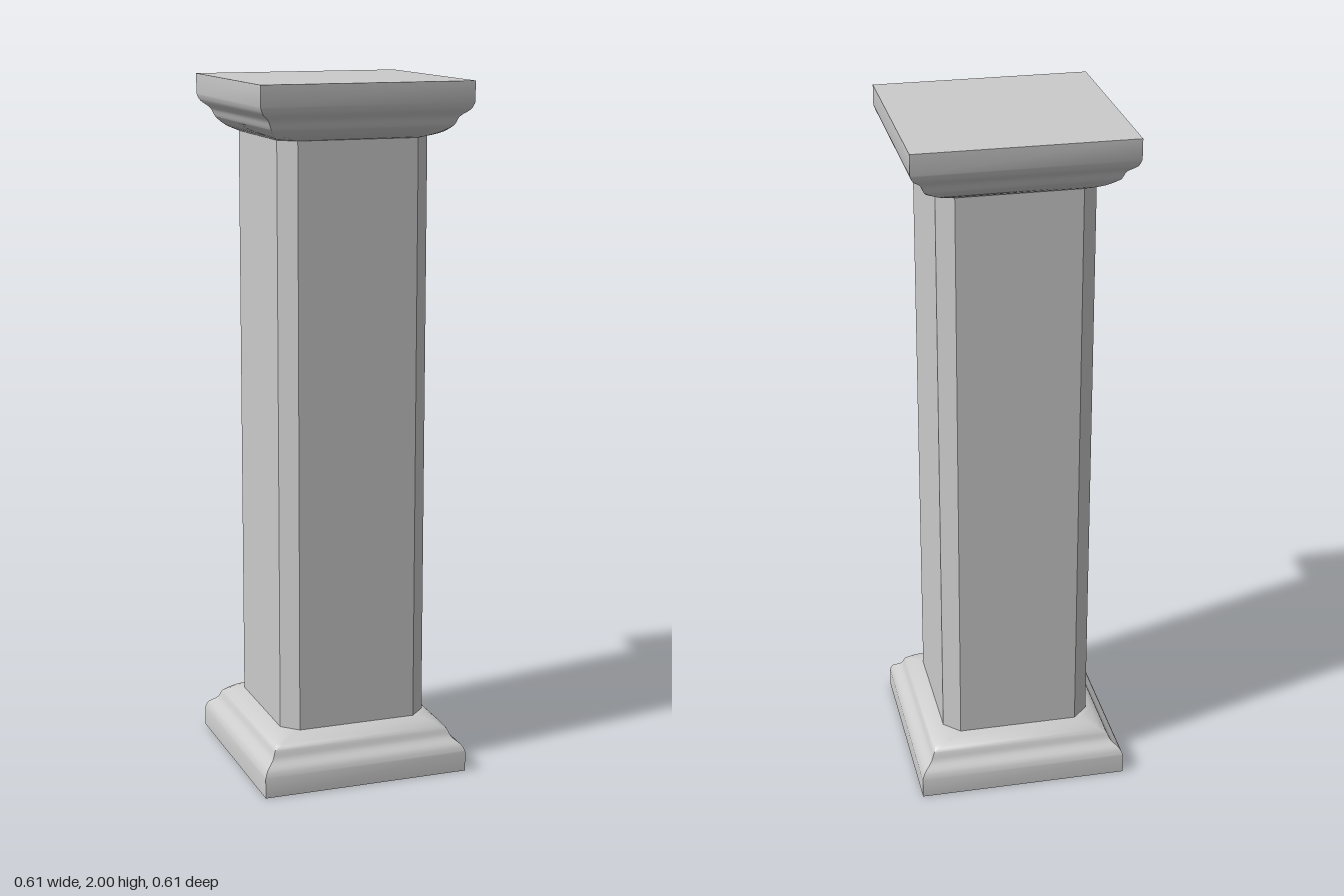
import * as THREE from 'three';
import { toCreasedNormals } from 'three/addons/utils/BufferGeometryUtils.js';

const material = new THREE.MeshStandardMaterial({ color: 0xcccccc });
const HALF = 0.22, CHAMFER = 0.045, MOULDING = 0.157;

// Square outline of half-width h with corners cut by c, as eight points
function ring(h, y, c) {
  const k = h - c;
  return [[k, h], [h, k], [h, -k], [k, -h], [-k, -h], [-h, -k], [-h, k], [-k, h]]
    .map(([x, z]) => new THREE.Vector3(x, y, z));
}

// Skin stacked rings from bottom to top and close both ends
function loft(rings, crease) {
  const pos = [];
  const tri = (a, b, c) => {
    if (new THREE.Triangle(a, b, c).getArea() < 1e-8) return;
    for (const p of [a, b, c]) pos.push(p.x, p.y, p.z);
  };
  for (let i = 0; i < rings.length - 1; i++) {
    for (let j = 0; j < 8; j++) {
      const n = (j + 1) % 8, lo = rings[i], hi = rings[i + 1];
      tri(lo[j], lo[n], hi[n]);
      tri(lo[j], hi[n], hi[j]);
    }
  }
  const bottom = rings[0], top = rings[rings.length - 1];
  for (let j = 1; j < 7; j++) {
    tri(bottom[0], bottom[j + 1], bottom[j]);
    tri(top[0], top[j], top[j + 1]);
  }
  const geometry = new THREE.BufferGeometry();
  geometry.setAttribute('position', new THREE.Float32BufferAttribute(pos, 3));
  return toCreasedNormals(geometry, crease);
}

function addMesh(group, name, geometry) {
  const mesh = new THREE.Mesh(geometry, material);
  mesh.name = name;
  group.add(mesh);
  return mesh;
}

export function createModel() {
  const group = new THREE.Group();
  group.name = 'pillar';

  // Moulding: square plinth, ogee curve, then the chamfered outline of the shaft
  const ogee = new THREE.SplineCurve([
    [0.307, 0.058], [0.298, 0.078], [0.275, 0.098], [0.264, 0.122], [0.246, 0.143], [HALF, MOULDING],
  ].map(([h, y]) => new THREE.Vector2(h, y))).getPoints(15);
  const rings = [ring(0.307, 0, 0)];
  ogee.forEach((p, i) => {
    const t = Math.max(0, (i - 9) / (ogee.length - 10));
    rings.push(ring(p.x, p.y, CHAMFER * t));
  });
  const moulding = loft(rings, 0.7);

  addMesh(group, 'base', moulding);
  const capital = addMesh(group, 'capital', moulding);
  capital.rotation.x = Math.PI;
  capital.position.y = 2;

  // Shaft with chamfered corners
  addMesh(group, 'shaft', loft([
    ring(HALF, MOULDING - 0.005, CHAMFER),
    ring(HALF, 2 - MOULDING + 0.005, CHAMFER),
  ], 0.5));

  return group;
}
